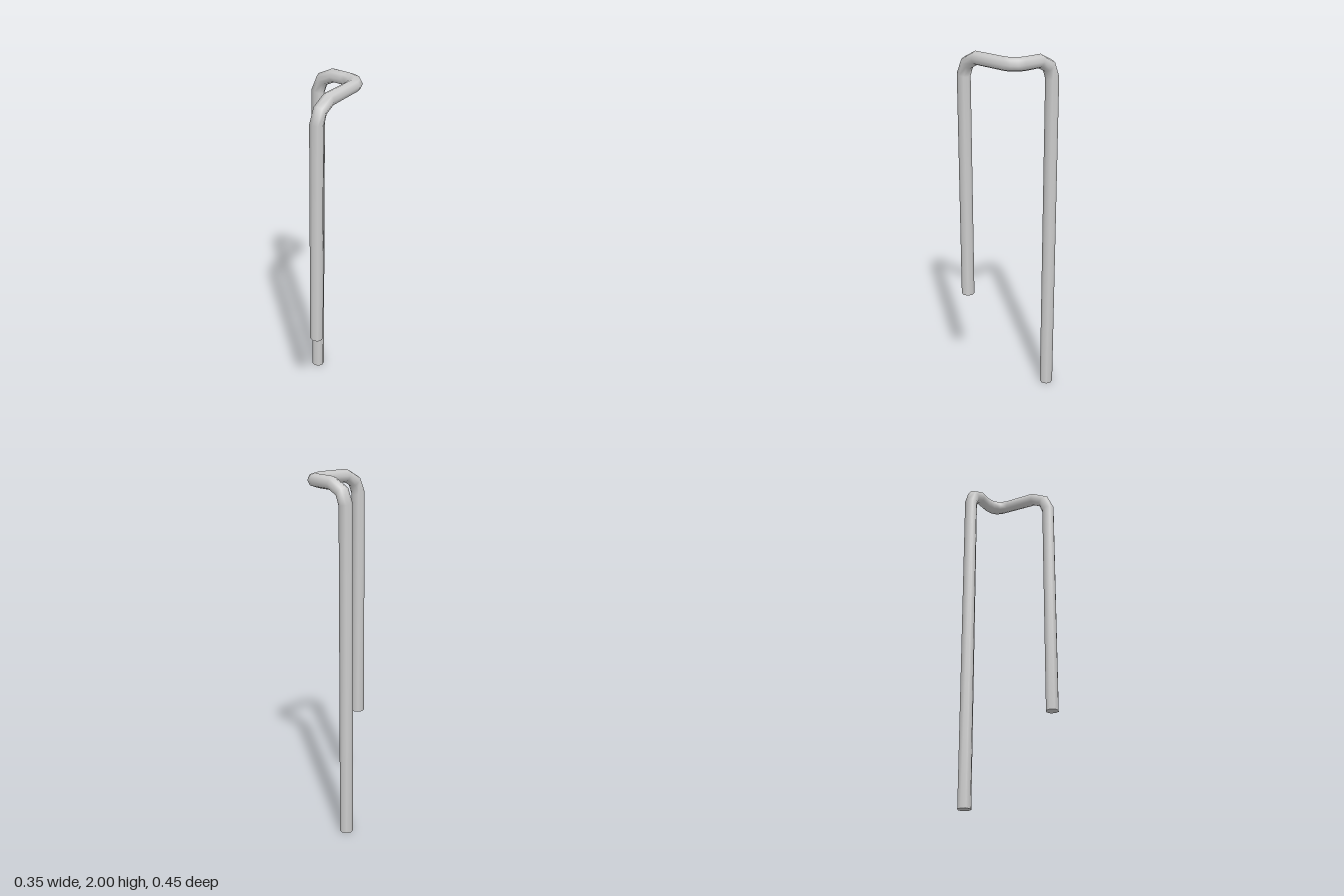
import * as THREE from 'three';

const SIDES = 8;
const R = 0.037;

// Each ring: centre x, y, z, yaw and pitch of the path in degrees, half width
const RINGS = [
  // long leg and its bend
  [-0.138, 0, -0.19, 0, 90, R],
  [-0.138, 1.858, -0.19, 0, 77, R],
  [-0.111, 1.925, -0.19, 0, 45, R],
  [-0.04, 1.961, -0.19, 0, 10, R],
  // level corner, with every ring facing along the diagonal
  [0.058, 1.963, -0.187, 45, 0, 0.044],
  [0.0975, 1.963, -0.174, 45, 0, 0.044],
  [0.125, 1.963, -0.1465, 45, 0, 0.044],
  [0.1355, 1.963, -0.1075, 45, 0, 0.044],
  // second bend and short leg
  [0.138, 1.961, 0.092, 90, -10, R],
  [0.138, 1.925, 0.161, 90, -45, R],
  [0.138, 1.858, 0.19, 90, -77, R],
  [0.138, 0.557, 0.19, 90, -90, R],
];

// Skin the rings into one smooth closed tube
function loft(rings) {
  const positions = [];
  const index = [];
  rings.forEach(([x, y, z, yawDeg, pitchDeg, width], i) => {
    const yaw = THREE.MathUtils.degToRad(yawDeg);
    const pitch = THREE.MathUtils.degToRad(pitchDeg);
    const along = new THREE.Vector3(
      Math.cos(pitch) * Math.cos(yaw), Math.sin(pitch), Math.cos(pitch) * Math.sin(yaw));
    const side = new THREE.Vector3(-Math.sin(yaw), 0, Math.cos(yaw));
    const normal = along.clone().cross(side);
    for (let j = 0; j < SIDES; j++) {
      const a = (j / SIDES) * Math.PI * 2;
      const p = new THREE.Vector3(x, y, z)
        .addScaledVector(side, Math.cos(a) * width)
        .addScaledVector(normal, Math.sin(a) * R);
      positions.push(p.x, p.y, p.z);
      if (i < rings.length - 1) {
        const k = (j + 1) % SIDES;
        const a0 = i * SIDES + j, b0 = i * SIDES + k;
        index.push(a0, b0, b0 + SIDES, a0, b0 + SIDES, a0 + SIDES);
      }
    }
  });
  const geometry = new THREE.BufferGeometry();
  geometry.setAttribute('position', new THREE.Float32BufferAttribute(positions, 3));
  geometry.setIndex(index);
  geometry.computeVertexNormals();
  return geometry;
}

export function createModel() {
  const group = new THREE.Group();
  group.name = 'bentRod';
  const material = new THREE.MeshStandardMaterial({ color: 0xcccccc });

  const rod = new THREE.Mesh(loft(RINGS), material);
  rod.name = 'rod';
  group.add(rod);

  // flat caps facing down at both leg ends
  const capGeometry = new THREE.CircleGeometry(R, SIDES).rotateX(Math.PI / 2);
  const ends = { longLegEnd: RINGS[0], shortLegEnd: RINGS[RINGS.length - 1] };
  for (const [name, [x, y, z]] of Object.entries(ends)) {
    const cap = new THREE.Mesh(capGeometry, material);
    cap.name = name;
    cap.position.set(x, y, z);
    group.add(cap);
  }
  return group;
}
